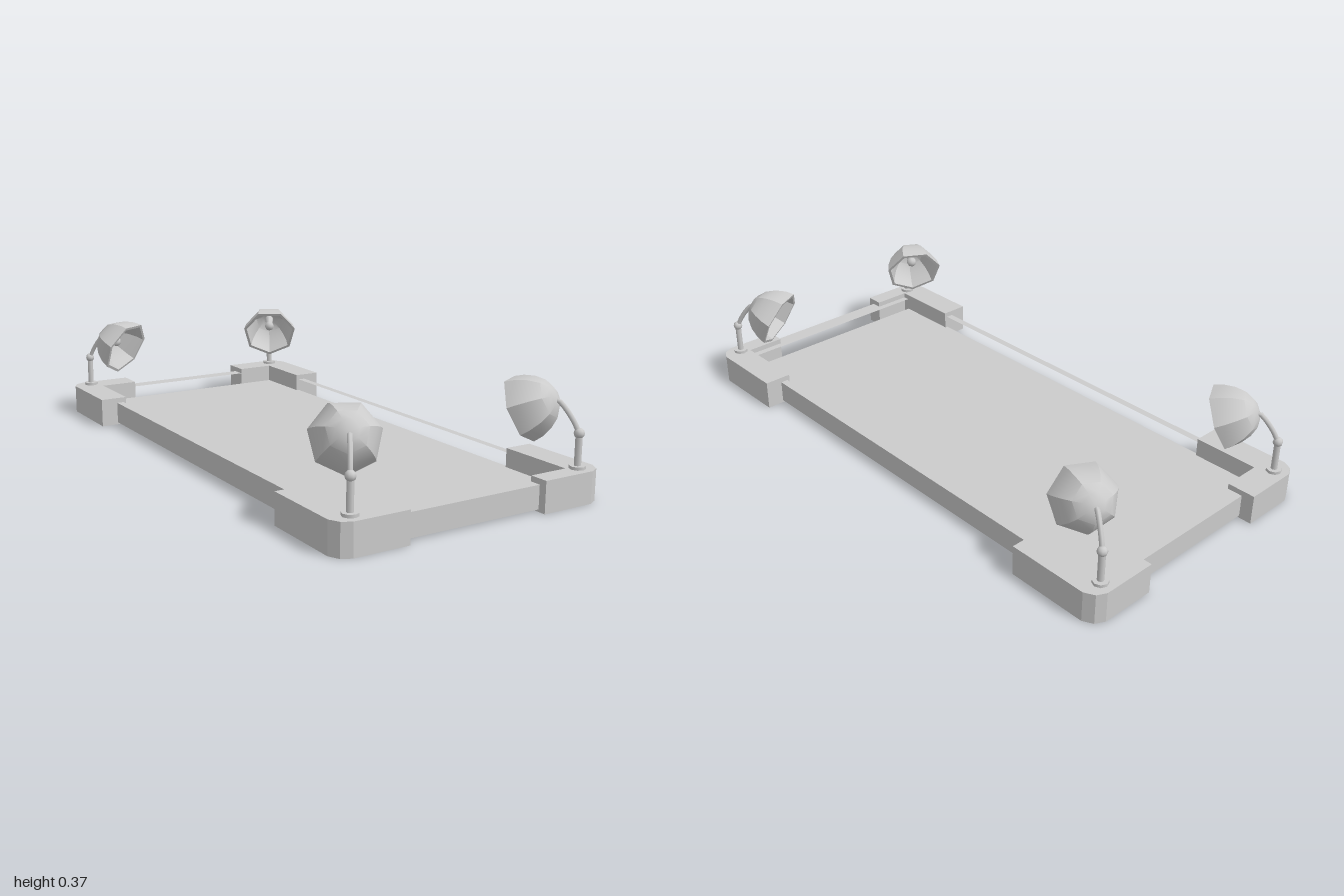
import * as THREE from 'three';
import { toCreasedNormals } from 'three/addons/utils/BufferGeometryUtils.js';

const material = new THREE.MeshStandardMaterial({ color: 0xcccccc });
const V = (x, y, z) => new THREE.Vector3(x, y, z);

function part(name, geometry, x = 0, y = 0, z = 0) {
  const mesh = new THREE.Mesh(geometry, material);
  mesh.name = name;
  mesh.position.set(x, y, z);
  return mesh;
}

const polygon = (pts) => pts.map(([x, z]) => new THREE.Vector2(x, -z));

// Extrudes a plan outline (x, z) upward from y0 to y1
function slab(name, outline, y0, y1, hole) {
  const shape = new THREE.Shape(polygon(outline));
  if (hole) shape.holes.push(new THREE.Path(polygon(hole)));
  const geo = new THREE.ExtrudeGeometry(shape, { depth: y1 - y0, bevelEnabled: false });
  geo.rotateX(-Math.PI / 2);
  return part(name, geo, 0, y0, 0);
}

const rect = (x, z0, z1) => [[-x, z0], [x, z0], [x, z1], [-x, z1]];

// L-shaped corner block with a faceted outer corner
function cornerBlock(sx, sz) {
  const inner = sz > 0 ? 0.935 : 0.9;
  const outline = [
    [0.25, 1], [0.44, 1], [0.472, 0.984], [0.49, 0.95],
    [0.49, 0.665], [0.39, 0.665], [0.39, inner], [0.25, inner],
  ].map(([x, z]) => [x * sx, z * sz]);
  return slab('cornerBlock', outline, 0, 0.105);
}

// Seven-sided dome shell: outer profile from apex to rim, then back inside
function shadeGeometry() {
  const profile = [
    [0, 0], [0.034, 0.006], [0.064, 0.025], [0.088, 0.056], [0.104, 0.092], [0.111, 0.125],
    [0.1, 0.125], [0.094, 0.094], [0.079, 0.062], [0.056, 0.034], [0.03, 0.017], [0, 0.012],
  ].map(([r, y]) => new THREE.Vector2(r, y));
  return toCreasedNormals(new THREE.LatheGeometry(profile, 7), 0.6);
}

function lamp(sx, sz) {
  const group = new THREE.Group();
  group.name = 'lamp';
  const x = 0.421 * sx, z = 0.954 * sz;

  // Stand
  group.add(part('lampBase', new THREE.CylinderGeometry(0.026, 0.026, 0.012, 8), x, 0.109, z));
  group.add(part('lampPost', new THREE.CylinderGeometry(0.011, 0.011, 0.1, 8), x, 0.16, z));
  group.add(part('lampJoint', new THREE.SphereGeometry(0.017, 8, 6), x, 0.217, z));

  // Bent arm up to the shade
  const arm = new THREE.CatmullRomCurve3([
    V(x, 0.215, z),
    V(0.412 * sx, 0.25, 0.94 * sz),
    V(0.394 * sx, 0.297, 0.91 * sz),
    V(0.384 * sx, 0.313, 0.893 * sz),
    V(0.368 * sx, 0.31, 0.868 * sz),
  ]);
  group.add(part('lampArm', new THREE.TubeGeometry(arm, 8, 0.0085, 6), 0, 0, 0));

  // Head: local +y looks inward and down, one rim corner points down
  const head = new THREE.Group();
  head.name = 'lampHead';
  const axis = V(-0.44 * sx, -0.42, -0.79 * sz).normalize();
  const down = V(0, -1, 0).addScaledVector(axis, axis.y).normalize();
  const side = V(0, 0, 0).crossVectors(axis, down);
  head.quaternion.setFromRotationMatrix(new THREE.Matrix4().makeBasis(side, axis, down));
  head.position.set(0.385 * sx, 0.325, 0.889 * sz);
  head.add(part('lampShade', shadeGeometry()));
  head.add(part('bulbSocket', new THREE.CylinderGeometry(0.013, 0.018, 0.05, 8), 0, 0.035, 0));
  head.add(part('bulb', new THREE.SphereGeometry(0.02, 8, 6), 0, 0.069, 0));
  group.add(head);
  return group;
}

export function createModel() {
  const model = new THREE.Group();
  model.name = 'lampTray';

  // Shallow tray
  model.add(slab('rimFrame', rect(0.427, -0.955, 0.973), 0.008, 0.086, rect(0.4, -0.9, 0.91)));
  model.add(slab('floorPanel', rect(0.4, -0.9, 0.91), 0.008, 0.04));

  // Corner blocks and lamps
  for (const sx of [-1, 1]) {
    for (const sz of [-1, 1]) {
      model.add(cornerBlock(sx, sz), lamp(sx, sz));
    }
  }
  return model;
}
